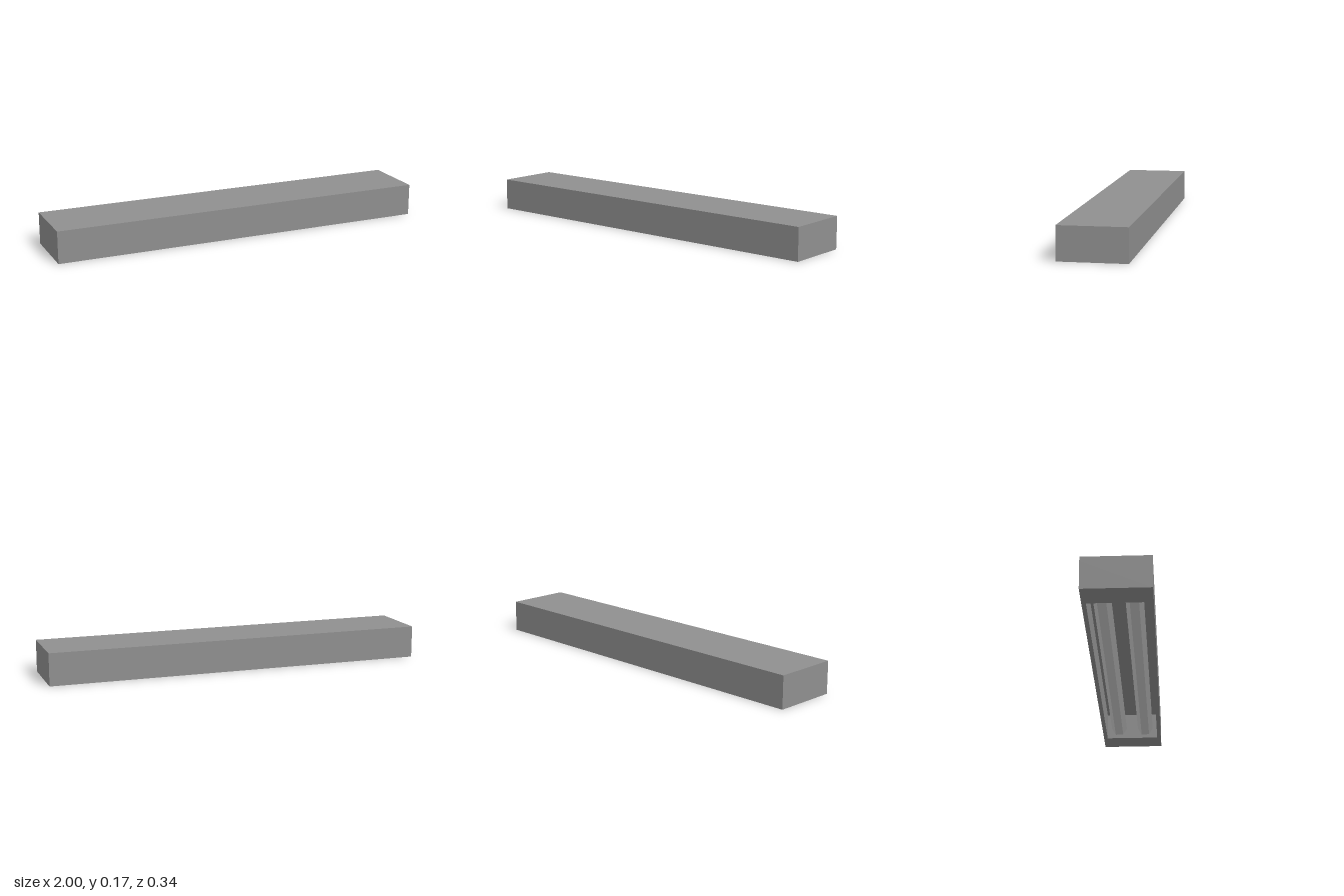
import * as THREE from 'three';

const LENGTH = 2, HEIGHT = 0.168, DEPTH = 0.338;
const OPEN_LENGTH = 1.715, OPEN_DEPTH = 0.295, CEILING = 0.148;

const housingMaterial = new THREE.MeshStandardMaterial({ color: 0x8f8f8f, flatShading: true });
const tubeMaterial = new THREE.MeshStandardMaterial({ color: 0xcccccc, flatShading: true });

function rectangle(target, w, h) {
  target.moveTo(-w / 2, -h / 2);
  target.lineTo(w / 2, -h / 2);
  target.lineTo(w / 2, h / 2);
  target.lineTo(-w / 2, h / 2);
  target.closePath();
  return target;
}

function addMesh(group, name, geometry, material, y = 0, z = 0) {
  const mesh = new THREE.Mesh(geometry, material);
  mesh.name = name;
  mesh.position.set(0, y, z);
  group.add(mesh);
}

export function createModel() {
  const model = new THREE.Group();
  model.name = 'ceilingLight';

  // Housing walls around the downward opening, with thick end blocks
  const outline = rectangle(new THREE.Shape(), LENGTH, DEPTH);
  outline.holes.push(rectangle(new THREE.Path(), OPEN_LENGTH, OPEN_DEPTH));
  const walls = new THREE.ExtrudeGeometry(outline, { depth: CEILING, bevelEnabled: false });
  walls.rotateX(-Math.PI / 2);
  addMesh(model, 'housingWalls', walls, housingMaterial);

  // Closed top of the housing
  const topThickness = HEIGHT - CEILING;
  addMesh(model, 'housingTop', new THREE.BoxGeometry(LENGTH, topThickness, DEPTH),
    housingMaterial, CEILING + topThickness / 2);

  // Two six-sided lamp tubes, flat side down, spanning the recess
  for (const side of [-1, 1]) {
    const tube = new THREE.CylinderGeometry(0.044, 0.044, OPEN_LENGTH, 6);
    tube.rotateZ(Math.PI / 2);
    addMesh(model, side > 0 ? 'frontLampTube' : 'backLampTube', tube, tubeMaterial, 0.06, side * 0.077);
  }

  return model;
}
